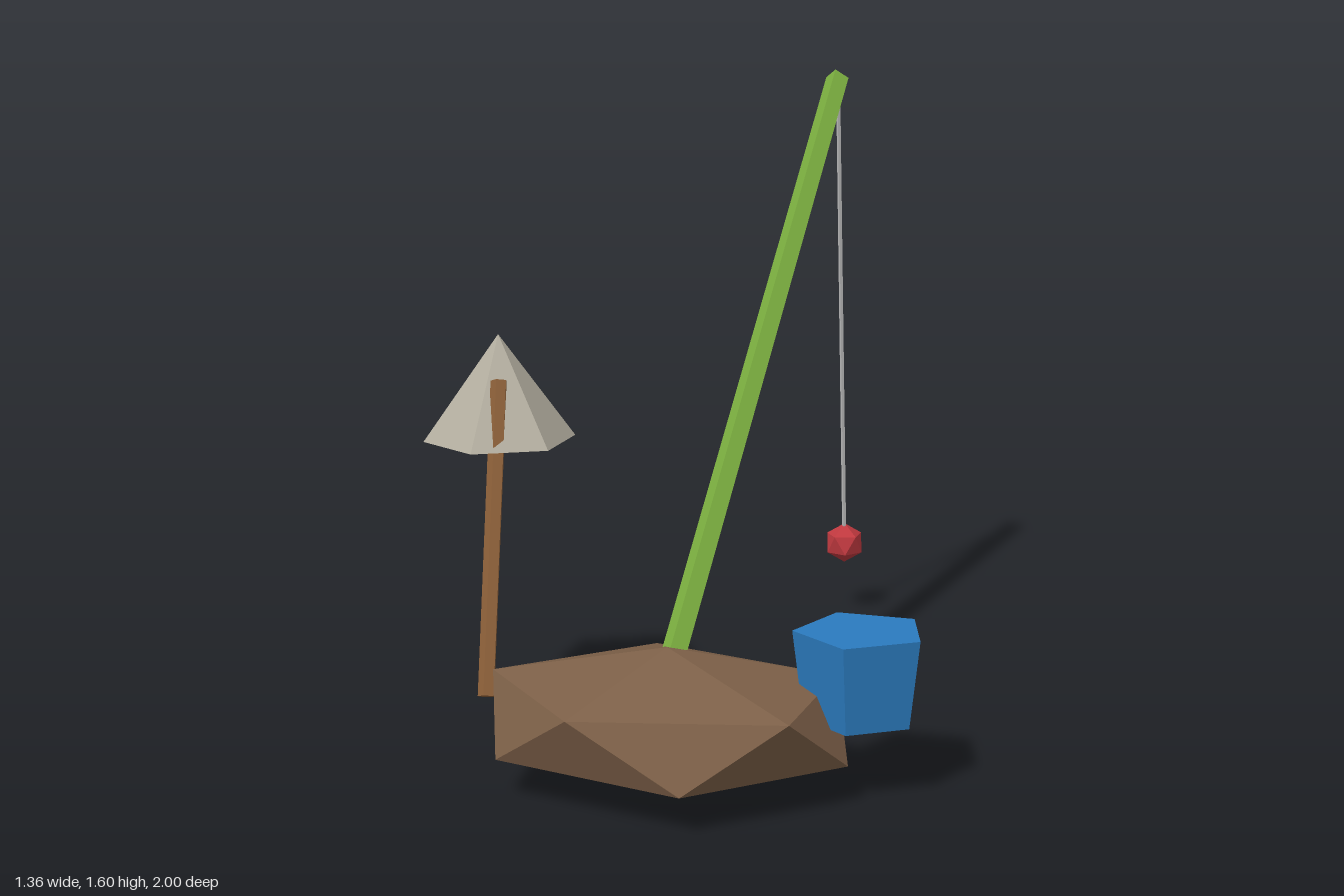
import * as THREE from 'three';

const mat = (name, color) => {
  const m = new THREE.MeshStandardMaterial({ color, flatShading: true });
  m.name = name;
  return m;
};

// Twenty-sided stone standing on one point, stretched to three radii
function icoGeometry(rx, ry, rz) {
  const h = 1 / Math.sqrt(5), r = 2 * h;
  const ring = (i, y, turn) => {
    const a = Math.PI + (i + turn) * Math.PI * 2 / 5;
    return [r * Math.cos(a) * rx, y * ry, r * Math.sin(a) * rz];
  };
  const top = [0, ry, 0], bottom = [0, -ry, 0], pts = [];
  for (let i = 0; i < 5; i++) {
    const u0 = ring(i, h, 0), u1 = ring(i + 1, h, 0);
    const l0 = ring(i, -h, 0.5), l1 = ring(i + 1, -h, 0.5);
    pts.push(...top, ...u1, ...u0, ...u0, ...u1, ...l0);
    pts.push(...l0, ...u1, ...l1, ...bottom, ...l0, ...l1);
  }
  const g = new THREE.BufferGeometry();
  g.setAttribute('position', new THREE.Float32BufferAttribute(pts, 3));
  g.computeVertexNormals();
  return g;
}

export function createModel() {
  const group = new THREE.Group();
  const add = (name, geometry, material, x, y, z) => {
    const mesh = new THREE.Mesh(geometry, material);
    mesh.name = name;
    mesh.position.set(x, y, z);
    group.add(mesh);
    return mesh;
  };
  // Straight rod between two points
  const rod = (name, from, to, radius, sides, material) => {
    const a = new THREE.Vector3(...from), b = new THREE.Vector3(...to);
    const dir = b.clone().sub(a), mid = a.clone().add(b).multiplyScalar(0.5);
    const mesh = add(name, new THREE.CylinderGeometry(radius, radius, dir.length(), sides),
      material, mid.x, mid.y, mid.z);
    mesh.quaternion.setFromUnitVectors(new THREE.Vector3(0, 1, 0), dir.normalize());
  };

  // Rock
  add('rock', icoGeometry(0.503, 0.175, 0.391), mat('rock brown', 0x7d6048), 0.07, 0.175, 0.667);

  // Fishing pole, line and bobber
  rod('fishingPole', [0.072, 0.31, 0.64], [0.072, 1.573, -0.828], 0.032, 4, mat('pole green', 0x7cb040));
  rod('fishingLine', [0.072, 1.565, -0.835], [0.072, 0.22, -0.945], 0.006, 4, mat('line grey', 0xbdbdbd));
  add('bobber', icoGeometry(0.058, 0.058, 0.058), mat('bobber red', 0xc0393f), 0.072, 0.207, -0.947);

  // Bucket
  add('bucket', new THREE.CylinderGeometry(0.165, 0.137, 0.22, 5), mat('bucket blue', 0x2b7bbf), 0.52, 0.29, 0.555);

  // Landing net leaning on the rock
  rod('netHandle', [-0.403, 0.178, 0.655], [-0.48, 0.905, 0.348], 0.022, 5, mat('handle wood', 0x8d6039));
  add('net', new THREE.ConeGeometry(0.195, 0.27, 6), mat('net beige', 0xb3ae9f), -0.51, 0.875, 0.277);

  return group;
}
